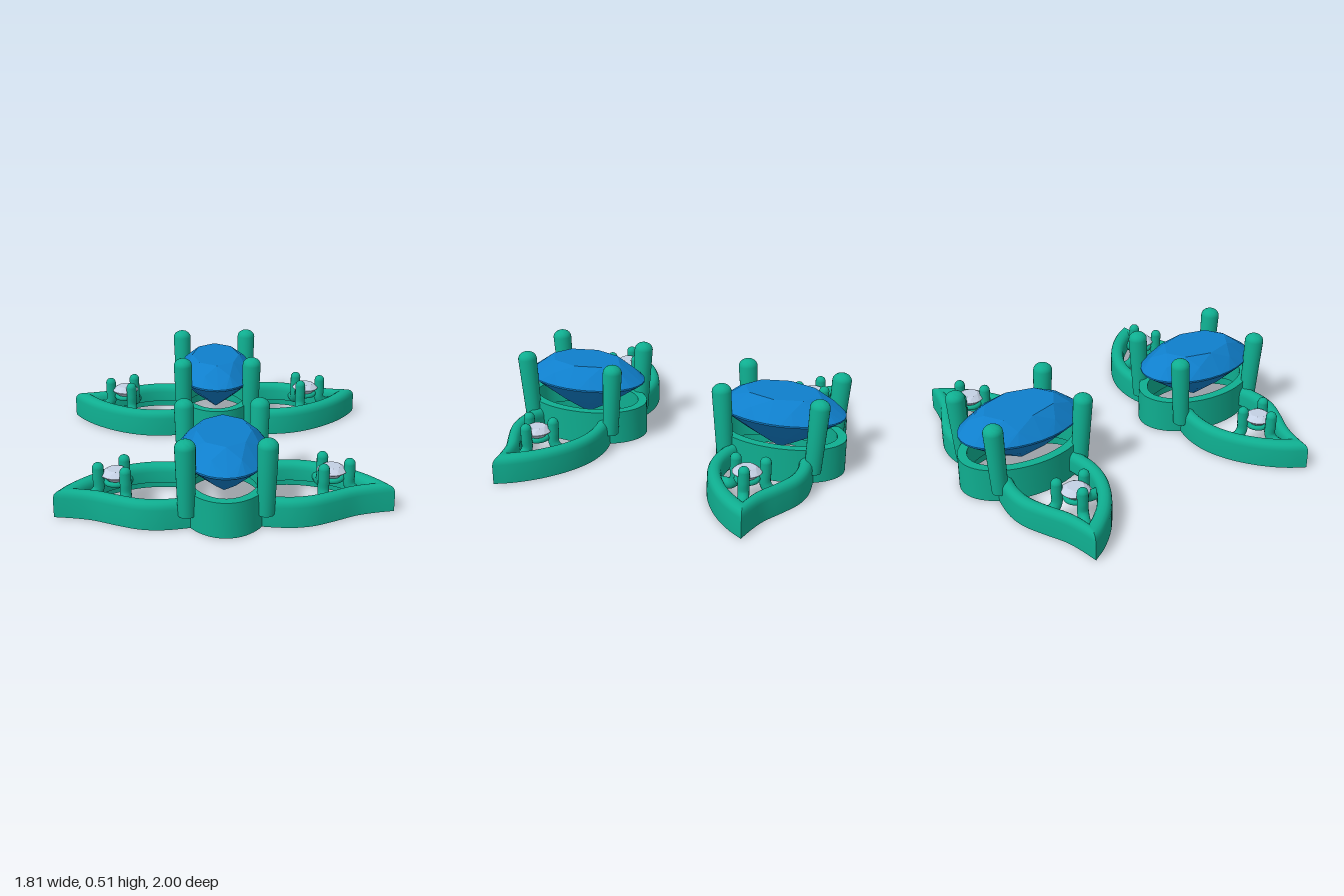
import * as THREE from 'three';
import { toCreasedNormals } from 'three/addons/utils/BufferGeometryUtils.js';
import { ConvexGeometry } from 'three/addons/geometries/ConvexGeometry.js';

const metal = new THREE.MeshStandardMaterial({ color: 0x0fae90, side: THREE.DoubleSide });
const blueStone = new THREE.MeshStandardMaterial({ color: 0x0f7fcc, flatShading: true });
const paleStone = new THREE.MeshStandardMaterial({ color: 0xc4d0e4, flatShading: true });
const V = (x, y, z) => new THREE.Vector3(x, y, z);
const CZ = 0.62; // centre of one jewel in z

function add(parent, name, geometry, material) {
  const mesh = new THREE.Mesh(geometry, material);
  mesh.name = name;
  parent.add(mesh);
  return mesh;
}

// Band between an outer and an inner path; section holds [fraction across, height]
function band(outer, inner, section) {
  const pos = [], idx = [], n = section.length;
  outer.forEach((o, i) => section.forEach(([u, y]) =>
    pos.push(o.x + (inner[i].x - o.x) * u, y, o.z + (inner[i].z - o.z) * u)));
  for (let i = 0; i < outer.length - 1; i++) {
    for (let j = 0; j < n; j++) {
      const k = (j + 1) % n;
      const a = i * n + j, b = a + n, d = i * n + k, c = d + n;
      idx.push(a, d, c, a, c, b);
    }
  }
  const g = new THREE.BufferGeometry();
  g.setAttribute('position', new THREE.Float32BufferAttribute(pos, 3));
  g.setIndex(idx);
  return toCreasedNormals(g, 0.7);
}

// Faceted oval stone: table, crown, girdle, pavilion and culet
function gem(rx, rz, top, girdle, culet) {
  const pts = [V(0, culet, 0)];
  const ring = (count, scale, y, shift) => {
    for (let i = 0; i < count; i++) {
      const t = ((i + shift) / count) * Math.PI * 2;
      pts.push(V(rx * scale * Math.cos(t), y, rz * scale * Math.sin(t)));
    }
  };
  const lerp = THREE.MathUtils.lerp;
  ring(8, 0.6, top, 0);
  ring(8, 0.82, lerp(girdle, top, 0.58), 0.5);
  ring(32, 1, girdle + (top - girdle) * 0.04, 0);
  ring(32, 1, girdle - (top - girdle) * 0.04, 0);
  ring(8, 0.55, lerp(girdle, culet, 0.52), 0.5);
  return new ConvexGeometry(pts);
}

// Tapered claw with a domed top
function claw(a, b, r0, r1) {
  const len = a.distanceTo(b);
  const profile = [new THREE.Vector2(0, 0), new THREE.Vector2(r0, 0)];
  for (let i = 0; i <= 6; i++) {
    const t = (i / 6) * Math.PI / 2;
    profile.push(new THREE.Vector2(r1 * Math.cos(t), len - r1 * 0.8 + r1 * 0.8 * Math.sin(t)));
  }
  const g = toCreasedNormals(new THREE.LatheGeometry(profile, 24), 0.7);
  const dir = b.clone().sub(a).normalize();
  g.applyQuaternion(new THREE.Quaternion().setFromUnitVectors(V(0, 1, 0), dir));
  return g.translate(a.x, a.y, a.z);
}

// Two smooth runs meeting at a sharp tip
function leafPath(first, second, side) {
  const run = (list) => new THREE.CatmullRomCurve3(
    list.map(([x, z]) => V(x * side, 0, z)), false, 'centripetal').getPoints(24);
  const path = [...run(first), ...run(second).slice(1)];
  return side < 0 ? path.reverse() : path;
}

function wing(side) {
  const group = new THREE.Group();
  group.name = side > 0 ? 'leftWing' : 'rightWing';

  // Leaf-shaped frame with rounded top and hollow underside
  const outer = leafPath(
    [[0.185, 0.375], [0.27, 0.355], [0.39, 0.352], [0.50, 0.375], [0.62, 0.43], [0.75, 0.525], [0.85, 0.635], [0.907, 0.727]],
    [[0.907, 0.727], [0.80, 0.745], [0.70, 0.772], [0.58, 0.83], [0.46, 0.882], [0.36, 0.898], [0.27, 0.892], [0.175, 0.875]], side);
  const inner = leafPath(
    [[0.215, 0.445], [0.29, 0.432], [0.39, 0.43], [0.48, 0.45], [0.57, 0.492], [0.67, 0.565], [0.73, 0.628], [0.775, 0.685]],
    [[0.775, 0.685], [0.73, 0.692], [0.65, 0.715], [0.55, 0.764], [0.44, 0.808], [0.36, 0.82], [0.28, 0.815], [0.205, 0.798]], side);
  add(group, 'wingFrame', band(outer, inner, [
    [0, 0], [0, 0.112], [0.04, 0.13], [0.14, 0.144], [0.3, 0.153], [0.5, 0.155],
    [0.7, 0.153], [0.86, 0.144], [0.96, 0.13], [1, 0.112], [1, 0.05], [0.42, 0.05], [0.42, 0],
  ]), metal);

  // Small stone on a seat ring, held by three bent prongs
  add(group, 'smallStone', gem(0.08, 0.08, 0.233, 0.205, 0.14), paleStone)
    .position.set(0.577 * side, 0, 0.632);
  const seat = add(group, 'smallSeat', new THREE.TorusGeometry(0.055, 0.015, 8, 28), metal);
  seat.rotation.x = Math.PI / 2;
  seat.position.set(0.577 * side, 0.163, 0.632);
  const prongs = [
    [0.523, 0.715, 0.515, 0.80],
    [0.67, 0.648, 0.79, 0.69],
    [0.536, 0.552, 0.525, 0.455],
  ];
  for (const [x, z, fx, fz] of prongs) {
    const at = (t, y) => V((x + (fx - x) * t) * side, y, z + (fz - z) * t);
    const path = new THREE.CatmullRomCurve3(
      [at(0, 0.25), at(0, 0.19), at(0, 0.13), at(0.25, 0.095), at(1, 0.085)], false, 'centripetal');
    add(group, 'smallProng', new THREE.TubeGeometry(path, 28, 0.031, 14), metal);
    add(group, 'smallProngTip', new THREE.SphereGeometry(0.031, 14, 10), metal)
      .position.copy(at(0, 0.247));
  }
  return group;
}

function jewel(name) {
  const group = new THREE.Group();
  group.name = name;

  // Oval setting wall with an inner ledge
  const oval = (rx, rz) => Array.from({ length: 65 }, (_, i) => {
    const t = (i / 64) * Math.PI * 2;
    return V(rx * Math.cos(t), 0, CZ + rz * Math.sin(t));
  });
  add(group, 'ovalSetting', band(oval(0.253, 0.38), oval(0.2, 0.327), [
    [0, 0], [0, 0.2], [1, 0.2], [1, 0.06], [0.55, 0.06], [0.55, 0],
  ]), metal);

  add(group, 'mainStone', gem(0.245, 0.37, 0.44, 0.33, 0.09), blueStone).position.z = CZ;

  // Four outward-leaning claws and two wings
  for (const sx of [-1, 1]) {
    for (const sz of [-1, 1]) {
      add(group, 'mainClaw', claw(
        V(0.205 * sx, 0.08, CZ + 0.258 * sz), V(0.21 * sx, 0.51, CZ + 0.285 * sz), 0.046, 0.055), metal);
    }
    group.add(wing(sx));
  }
  return group;
}

export function createModel() {
  const model = new THREE.Group();
  model.name = 'earringPair';
  const front = jewel('frontEarring');
  const back = jewel('backEarring');
  back.rotation.y = Math.PI;
  model.add(front, back);
  return model;
}
